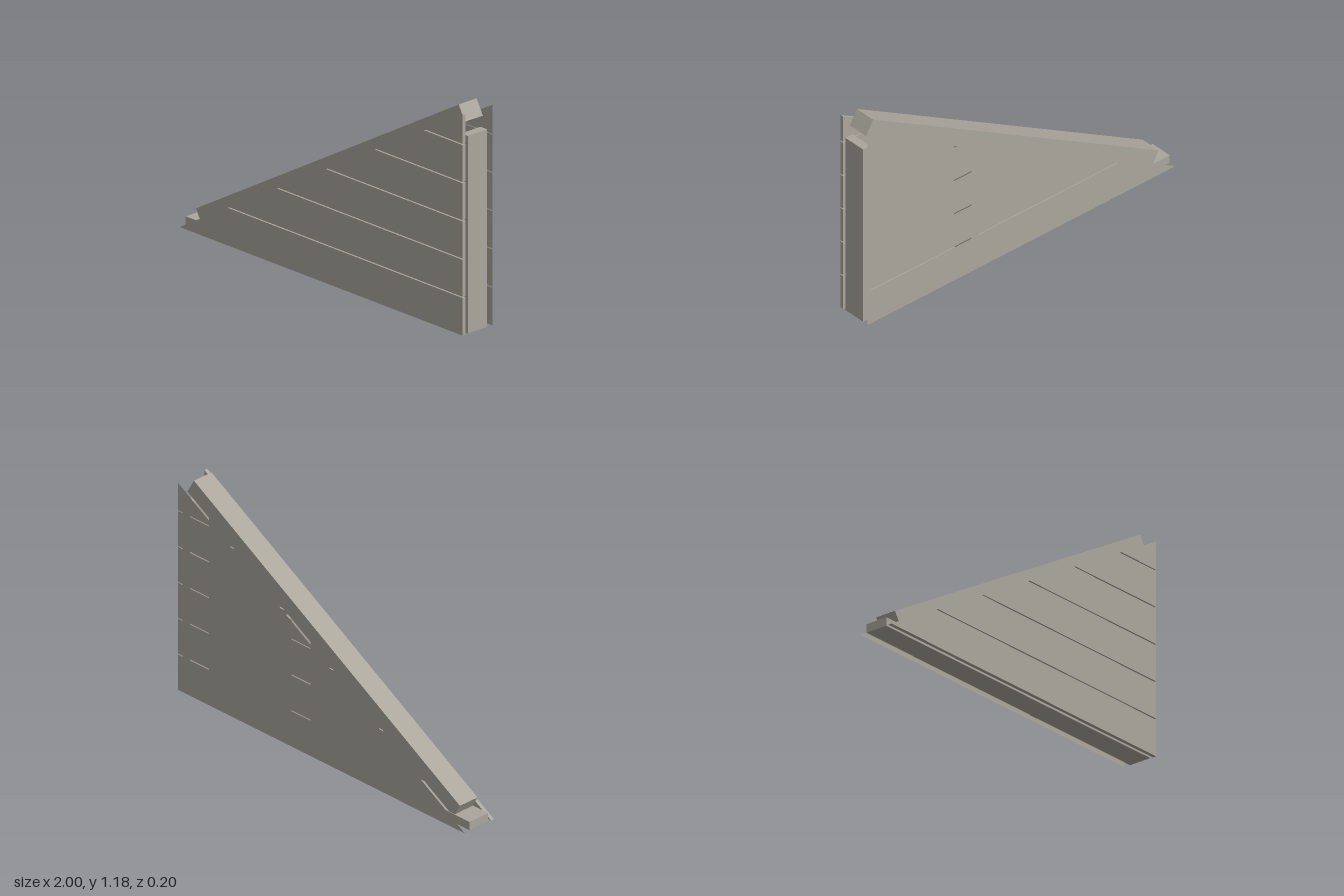
import * as THREE from 'three';

export function createModel() {
  const group = new THREE.Group();
  const wood = new THREE.MeshStandardMaterial({ color: 0xaaa69c, side: THREE.DoubleSide });
  wood.name = 'weathered wood';

  const pitch = Math.PI / 6;
  const slope = Math.tan(pitch);
  const peak = 2 * slope;

  const add = (name, geometry, x, y, z) => {
    const mesh = new THREE.Mesh(geometry, wood);
    mesh.name = name;
    mesh.position.set(x, y, z);
    group.add(mesh);
    return mesh;
  };

  // Beam from its x and y limits and its depth, centred on z = 0
  const beam = (name, x0, x1, y0, y1, depth) =>
    add(name, new THREE.BoxGeometry(x1 - x0, y1 - y0, depth), (x0 + x1) / 2, (y0 + y1) / 2, 0);

  // Timber frame
  beam('baseBeam', -0.995, 0.998, 0.001, 0.047, 0.126);
  beam('endPost', 0.952, 0.999, 0.001, 1.035, 0.13);
  beam('middlePost', 0.245, 0.295, 0.001, 0.68, 0.13);

  // Sloping rafter, its middle lying just above the edge of the boards
  const offset = 0.011;
  const length = 2.142;
  const midX = 0.0245;
  const rafter = add('rafter', new THREE.BoxGeometry(length, 0.09, 0.12),
    midX, slope * (midX + 1) + offset / Math.cos(pitch), 0);
  rafter.rotation.z = pitch;

  // Horizontal boards cut along the slope: thick in front, thin sheets behind
  const step = 0.2;
  const gap = 0.006;
  for (let i = 0; i < 6; i++) {
    const y0 = i === 0 ? 0 : i * step + gap / 2;
    const y1 = Math.min((i + 1) * step - gap / 2, peak);
    const points = [[y0 / slope - 1, y0], [1, y0], [1, y1]];
    if (y1 < peak) points.push([y1 / slope - 1, y1]);
    const shape = new THREE.Shape(points.map(([x, y]) => new THREE.Vector2(x, y)));

    add('frontBoard' + (i + 1),
      new THREE.ExtrudeGeometry(shape, { depth: 0.02, bevelEnabled: false }), 0, 0, 0.08);

    const back = new THREE.ShapeGeometry(shape);
    back.rotateY(Math.PI);
    back.scale(-1, 1, 1);
    // Mirroring flips the winding, so reverse the corners to face the back
    back.index.array.reverse();
    const normals = back.attributes.normal;
    for (let n = 0; n < normals.count; n++) normals.setXYZ(n, 0, 0, -1);
    add('backBoard' + (i + 1), back, 0, 0, -0.1);
  }

  return group;
}
